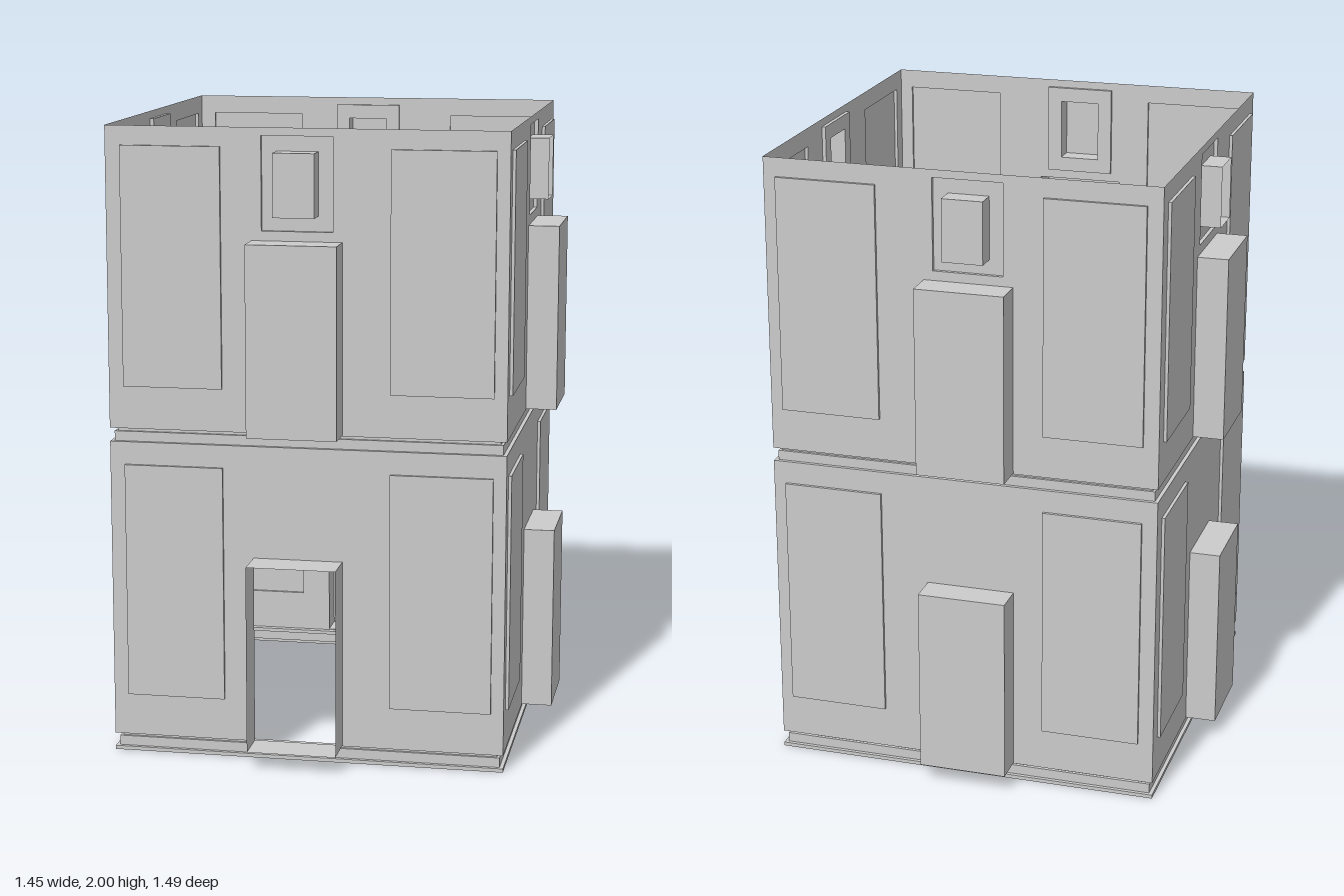
import * as THREE from 'three';

const material = new THREE.MeshStandardMaterial({ color: 0xcccccc, side: THREE.DoubleSide, flatShading: true });

function add(parent, name, geometry) {
  const mesh = new THREE.Mesh(geometry, material);
  mesh.name = name;
  parent.add(mesh);
}

// Closed four-sided skin joining a list of loops, each an array of [x, y, z]
function skin(loops) {
  const pos = [];
  for (let k = 0; k + 1 < loops.length; k++) {
    const a = loops[k], b = loops[k + 1];
    for (let i = 0; i < a.length; i++) {
      const j = (i + 1) % a.length;
      pos.push(...a[i], ...a[j], ...b[j], ...a[i], ...b[j], ...b[i]);
    }
  }
  const g = new THREE.BufferGeometry();
  g.setAttribute('position', new THREE.Float32BufferAttribute(pos, 3));
  g.computeVertexNormals();
  return g;
}

// Rectangles are [u0, u1, y0, y1]
const corners = ([u0, u1, y0, y1]) => [[u0, y0], [u1, y0], [u1, y1], [u0, y1]];
const loopAt = (rect, d) => corners(rect).map(([u, y]) => [u, y, d]);

function sheet(rect, d, holes = []) {
  const points = r => corners(r).map(([u, y]) => new THREE.Vector2(u, y));
  const shape = new THREE.Shape(points(rect));
  for (const h of holes) shape.holes.push(new THREE.Path(points(h).reverse()));
  return new THREE.ShapeGeometry(shape).translate(0, 0, d);
}

const PANEL_DEPTH = 0.01, FRAME_DEPTH = -0.012;

// One wall of one storey, facing local +z
function createWall(side, storey) {
  const wall = new THREE.Group();
  const place = ([u0, u1, y0, y1]) =>
    (side.mirror ? [-u1, -u0, y0 + storey, y1 + storey] : [u0, u1, y0 + storey, y1 + storey]);

  const panels = [[-0.577, -0.263, 0.19, 0.94], [0.265, 0.585, 0.19, 0.94]].map(place);
  const niche = place([-0.167, 0.115, 0.058, 0.655]);
  const frame = place([-0.136, 0.086, 0.685, 0.975]);
  const pane = place([-0.09, 0.039, 0.732, 0.928]);
  const holes = [...panels, niche];
  if (storey) holes.push(frame);
  add(wall, 'wallSurface', sheet([-side.half, side.half, storey + 0.055, storey + 1], 0, holes));

  // Shallow raised panels
  for (const p of panels) {
    add(wall, 'panelEdge', skin([loopAt(p, 0), loopAt(p, PANEL_DEPTH)]));
    add(wall, 'panel', sheet(p, PANEL_DEPTH));
  }

  // Hollow niche, or the open doorway on the front ground storey
  const doorway = side.name === 'front' && storey === 0;
  const depth = doorway ? 0.12 : 0.099;
  add(wall, doorway ? 'doorwaySides' : 'nicheSides', skin([loopAt(niche, 0), loopAt(niche, depth)]));
  if (!doorway) add(wall, 'nicheBack', sheet(niche, depth));

  // Window: sunk frame with a projecting box
  if (storey) {
    add(wall, 'windowFrameEdge', skin([loopAt(frame, 0), loopAt(frame, FRAME_DEPTH)]));
    add(wall, 'windowFrame', sheet(frame, FRAME_DEPTH, [pane]));
    add(wall, 'windowBoxSides', skin([loopAt(pane, FRAME_DEPTH), loopAt(pane, 0.055)]));
    if (!side.openWindow) add(wall, 'windowBoxFace', sheet(pane, 0.055));
  }
  return wall;
}

export function createModel() {
  const model = new THREE.Group();
  model.name = 'tower';
  const cx = -0.002, cz = -0.013, hx = 0.625, hz = 0.634;

  const sides = [
    { name: 'front', angle: 0, half: hx, out: hz, mirror: false },
    { name: 'right', angle: -Math.PI / 2, half: hz, out: hx, mirror: false, openWindow: true },
    { name: 'back', angle: Math.PI, half: hx, out: hz, mirror: true },
    { name: 'left', angle: Math.PI / 2, half: hz, out: hx, mirror: true, openWindow: true },
  ];

  // Stepped base moulding as [inset, height]
  const moulding = [[0, 0], [0, 0.012], [0.012, 0.012], [0.012, 0.043], [0.021, 0.043], [0.021, 0.055], [0, 0.055]];

  for (const storey of [0, 1]) {
    const level = new THREE.Group();
    level.name = storey ? 'upperStorey' : 'lowerStorey';
    model.add(level);

    for (const side of sides) {
      const wall = createWall(side, storey);
      wall.name = side.name + 'Wall';
      wall.rotation.y = side.angle;
      wall.position.set(cx + Math.sin(side.angle) * side.out, 0, cz + Math.cos(side.angle) * side.out);
      level.add(wall);
    }

    add(level, 'baseMoulding', skin(moulding.map(([inset, y]) =>
      [[-1, 1], [1, 1], [1, -1], [-1, -1]].map(([sx, sz]) =>
        [cx + sx * (hx - inset), y + storey, cz + sz * (hz - inset)]))));
  }
  return model;
}
